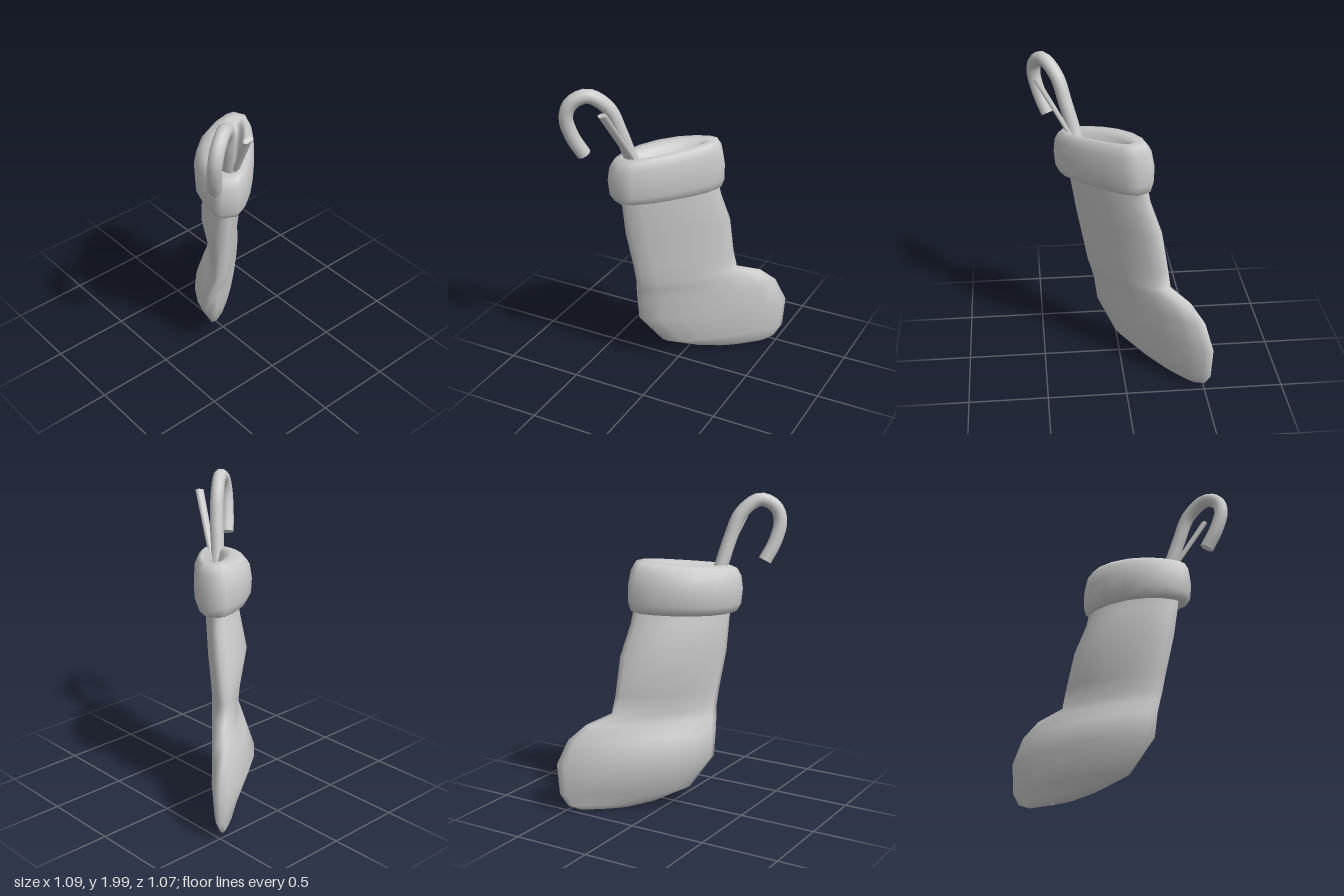
import * as THREE from 'three';

const grey = () => new THREE.MeshStandardMaterial({ color: 0xcccccc, side: THREE.DoubleSide });

// Lofts horizontal lens-shaped rings:
// [y, front end, back end, widest point, centre z, depth behind, depth ahead, skew of the centre line, tilt in height]
// the powers shape the back and front faces (above 1 pinched, below 1 flat)
function loft(name, rings, backPower, frontPower, sides = 16) {
  const pos = [], index = [];
  rings.forEach(([y, u0, u1, peak, mid, back, front, skew = 0, tilt = 0]) => {
    for (let j = 0; j < sides; j++) {
      const t = (j / sides) * Math.PI * 2, c = Math.cos(t), s = Math.sin(t);
      const x = peak + c * (c > 0 ? u1 - peak : peak - u0);
      const depth = s > 0 ? front * s ** frontPower : -back * (-s) ** backPower;
      pos.push(x, y - tilt * (x - 0.08), mid + skew * x + depth);
    }
  });
  for (let i = 0; i < rings.length - 1; i++) {
    for (let j = 0; j < sides; j++) {
      const k = (j + 1) % sides;
      const a = i * sides + j, b = i * sides + k, c = a + sides, d = b + sides;
      index.push(a, c, b, b, c, d);
    }
  }
  const geo = new THREE.BufferGeometry();
  geo.setAttribute('position', new THREE.Float32BufferAttribute(pos, 3));
  geo.setIndex(index);
  geo.computeVertexNormals();
  const mesh = new THREE.Mesh(geo, grey());
  mesh.name = name;
  return mesh;
}

export function createModel() {
  const model = new THREE.Group();
  model.name = 'stocking';

  // Sock and cuff are shaped along x, then turned to the diagonal
  const sock = new THREE.Group();
  sock.name = 'sock';
  sock.rotation.y = -Math.PI / 4;
  model.add(sock);

  // Foot and leg, from the sole up
  sock.add(loft('footAndLeg', [
    [0.005, -0.46, -0.44, -0.45, 0.07, 0.004, 0.004, 0.08],
    [0.01, -0.63, -0.30, -0.45, 0.07, 0.02, 0.02, 0.08],
    [0.04, -0.70, -0.14, -0.40, 0.07, 0.04, 0.04, 0.08],
    [0.12, -0.75, 0.09, -0.28, 0.062, 0.07, 0.075, 0.08],
    [0.32, -0.765, 0.25, -0.20, 0.053, 0.09, 0.16, 0.07],
    [0.48, -0.69, 0.265, -0.19, 0.045, 0.095, 0.10, 0.05],
    [0.57, -0.58, 0.275, -0.16, 0.03, 0.095, 0.075, 0.02],
    [0.63, -0.41, 0.28, -0.12, 0.015, 0.09, 0.075, 0],
    [0.75, -0.385, 0.30, -0.08, 0.01, 0.09, 0.09, -0.02],
    [1.0, -0.345, 0.352, -0.04, -0.012, 0.09, 0.155, 0],
    [1.2, -0.272, 0.375, 0.03, -0.032, 0.085, 0.13, 0],
    [1.35, -0.24, 0.39, 0.07, -0.035, 0.085, 0.11, 0],
  ], 0.85, 1.4));

  // Rolled cuff: underside, bulging wall, rounded rim, then down into the narrow opening
  sock.add(loft('cuff', [
    [1.30, -0.20, 0.36, 0.10, -0.03, 0.06, 0.10, 0, 0.04],
    [1.258, -0.25, 0.40, 0.10, -0.03, 0.12, 0.14, 0, 0.04],
    [1.27, -0.272, 0.425, 0.10, -0.03, 0.14, 0.165, 0, 0.05],
    [1.32, -0.288, 0.452, 0.10, -0.03, 0.16, 0.195, 0, 0.06],
    [1.42, -0.288, 0.462, 0.10, -0.03, 0.165, 0.20, 0, 0.07],
    [1.51, -0.268, 0.452, 0.10, -0.035, 0.155, 0.19, 0, 0.09],
    [1.56, -0.235, 0.425, 0.10, -0.045, 0.125, 0.155, 0, 0.10],
    [1.575, -0.18, 0.38, 0.10, -0.06, 0.085, 0.10, 0, 0.10],
    [1.555, -0.13, 0.34, 0.10, -0.07, 0.05, 0.055, 0, 0.10],
    [1.46, -0.09, 0.30, 0.10, -0.07, 0.03, 0.025, 0, 0.10],
    [1.42, 0.10, 0.10, 0.10, -0.07, 0, 0, 0, 0.10],
  ], 0.55, 1.4));

  // Hooked cane
  const path = new THREE.CatmullRomCurve3([
    [0.23, 1.40, 0.15], [0.27, 1.55, 0.19], [0.315, 1.71, 0.225], [0.363, 1.87, 0.275],
    [0.44, 1.955, 0.37], [0.492, 1.91, 0.455], [0.502, 1.82, 0.485], [0.47, 1.69, 0.465], [0.422, 1.573, 0.42],
  ].map((p) => new THREE.Vector3(...p)));
  const cane = new THREE.Group();
  cane.name = 'cane';
  const rod = new THREE.Mesh(new THREE.TubeGeometry(path, 32, 0.044, 10), grey());
  rod.name = 'caneRod';
  cane.add(rod);
  [0, 1].forEach((t) => {
    const cap = new THREE.Mesh(new THREE.CircleGeometry(0.044, 10), grey());
    cap.name = 'caneEnd';
    cap.position.copy(path.getPointAt(t));
    cap.lookAt(cap.position.clone().addScaledVector(path.getTangentAt(t), t ? 1 : -1));
    cane.add(cap);
  });
  model.add(cane);

  // Thin flattened stick beside the cane
  const from = new THREE.Vector3(0.23, 1.42, 0.13), to = new THREE.Vector3(0.495, 1.875, 0.24);
  const dir = to.clone().sub(from);
  const stick = new THREE.Mesh(new THREE.CylinderGeometry(0.036, 0.028, dir.length(), 6), grey());
  stick.name = 'stick';
  stick.scale.x = 0.5;
  stick.position.copy(from).lerp(to, 0.5);
  stick.quaternion.setFromUnitVectors(new THREE.Vector3(0, 1, 0), dir.normalize());
  model.add(stick);

  return model;
}
